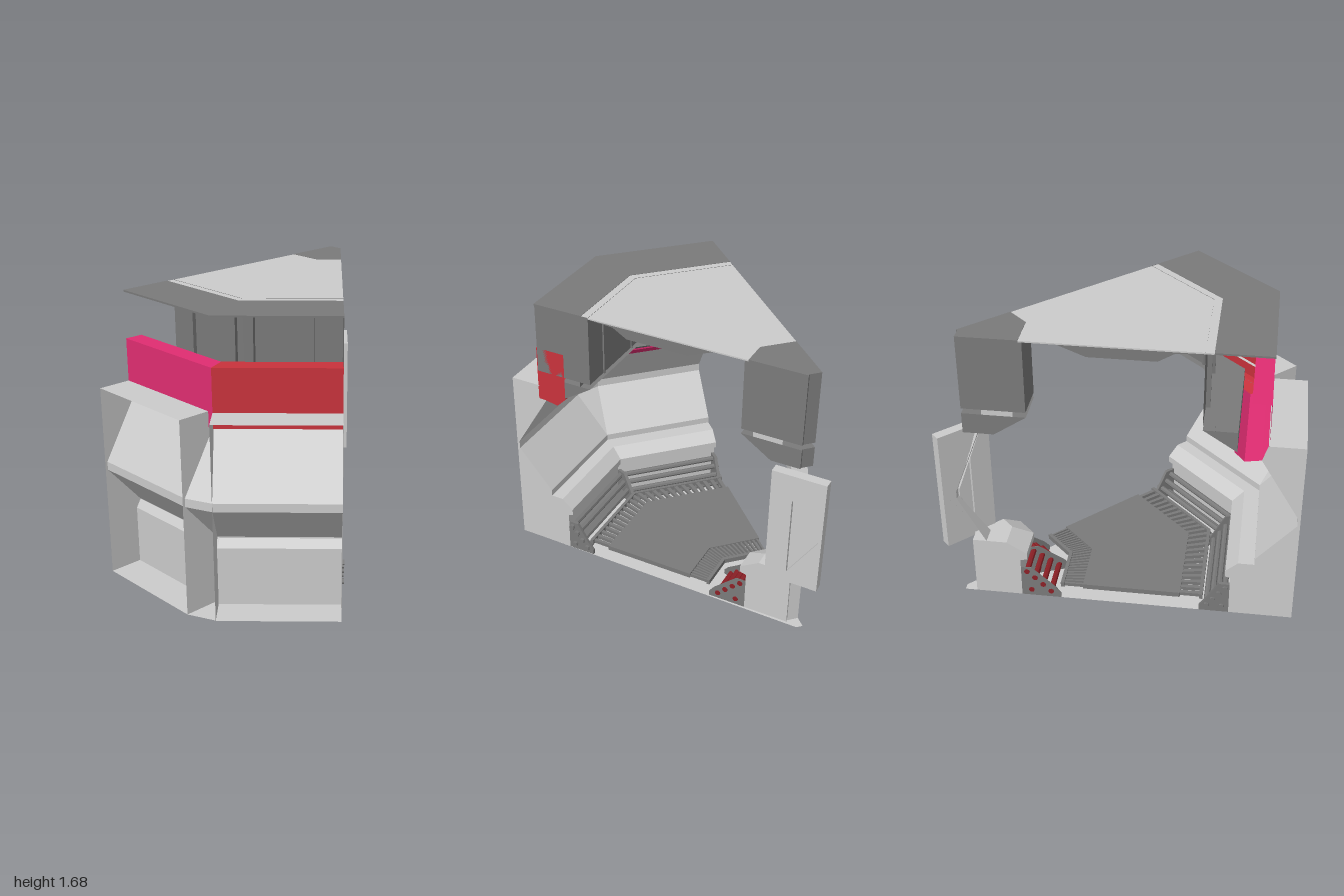
import * as THREE from 'three';

const GREY = 0xcccccc, DARK = 0x7a7a7a, PINK = 0xe02d72, RED = 0xc9323c, PIPE = 0x8c2026;
const mat = (color) => new THREE.MeshStandardMaterial({ color, side: THREE.DoubleSide, flatShading: true });

// Corridor plan: d is the offset across the corridor, s runs 0 (first end), 1 (mitre), 2 (second end).
function plan(d, s) {
  const mx = -0.238 + 0.414 * d, t = (d - mx + 0.266) / 2;
  return s <= 1 ? [-0.65 + (mx + 0.65) * s, d] : [mx + t * (s - 1), d - t * (s - 1)];
}
const at = (s) => (d) => plan(d, s);
const BEND = [at(0), at(1), at(2)];

// Outer panel path: swings round a hinge point so the ridge gets a bevelled corner.
const K = Math.SQRT1_2;
const PANEL = [
  (e) => [-0.65, 0.77 + e], (e) => [0.06, 0.77 + e],
  (e) => [0.06 + e * K, 0.77 + e * K], (e) => [0.548 + e * K, 0.282 + e * K],
];

// Sweeps a cross-section of [offset, y] points through the stations.
function sweep(parent, name, profile, stations, color, { closed = true, caps = closed } = {}) {
  const pos = [], n = profile.length;
  const point = (st, [d, y]) => { const [x, z] = st(d); return [x, y, z]; };
  for (let i = 0; i + 1 < stations.length; i++) {
    for (let j = 0; j < (closed ? n : n - 1); j++) {
      const p = profile[j], q = profile[(j + 1) % n];
      const a = point(stations[i], p), b = point(stations[i + 1], p);
      const c = point(stations[i + 1], q), e = point(stations[i], q);
      pos.push(...a, ...b, ...c, ...a, ...c, ...e);
    }
  }
  if (caps) {
    const tris = THREE.ShapeUtils.triangulateShape(profile.map(([d, y]) => new THREE.Vector2(d, y)), []);
    for (const st of [stations[0], stations[stations.length - 1]])
      for (const t of tris) for (const k of t) pos.push(...point(st, profile[k]));
  }
  const g = new THREE.BufferGeometry();
  g.setAttribute('position', new THREE.Float32BufferAttribute(pos, 3));
  g.computeVertexNormals();
  const m = new THREE.Mesh(g, mat(color));
  m.name = name;
  parent.add(m);
  return m;
}

// Flat sheet standing across the corridor at one station.
function plate(parent, name, outline, station, color) {
  const g = new THREE.ShapeGeometry(new THREE.Shape(outline.map(([d, y]) => new THREE.Vector2(d, y))));
  const p = g.attributes.position;
  for (let i = 0; i < p.count; i++) {
    const [x, z] = station(p.getX(i));
    p.setXYZ(i, x, p.getY(i), z);
  }
  g.computeVertexNormals();
  const m = new THREE.Mesh(g, mat(color));
  m.name = name;
  parent.add(m);
}

const rect = (a, b, y0, y1) => [[a, y0], [b, y0], [b, y1], [a, y1]];
const ring = (d, y, r) => Array.from({ length: 8 }, (_, i) =>
  [d + r * Math.cos(i * Math.PI / 4), y + r * Math.sin(i * Math.PI / 4)]);

function outerWall(g) {
  // Bulging panel with a ridge at mid height
  sweep(g, 'outerPanel', [[0, 1.09], [0.215, 0.73], [0.215, 0.68], [0, 0.43], [0, 0.38]], PANEL, GREY, { closed: false });
  // Open-fronted frame around each panel
  const side = [[0.03, 0.03], [0.23, 0.03], [0.23, 1.18], [0.03, 1.18], [0, 1.09], [0.215, 0.73],
    [0.215, 0.68], [0, 0.43], [0, 0.38]];
  PANEL.forEach((st) => plate(g, 'frameSide', side, st, GREY));
  for (const i of [0, 2]) {
    for (const y of [0.03, 1.18])
      sweep(g, y > 1 ? 'frameTop' : 'frameBottom', [[0.03, y], [0.23, y]], PANEL.slice(i, i + 2), GREY, { closed: false });
  }
  // Skirting bench at the foot of the wall
  sweep(g, 'outerSkirting', [[0.8, 0.03], [0.8, 0.38], [0.77, 0.43], [0.77, 0.39], [0.68, 0.39],
    [0.611, 0.33], [0.611, 0.29], [0.64, 0.28], [0.64, 0.03]], BEND, GREY);
  // Coloured band, one colour per side of the bend
  const band = [[0.625, 1.25], [0.625, 1.13], [0.68, 1.075], [0.77, 1.09], [0.805, 1.09], [0.805, 1.43], [0.7, 1.43]];
  sweep(g, 'frontBand', band, [at(0), at(1)], PINK, { closed: false });
  sweep(g, 'diagonalBand', band, [at(1), at(2)], RED, { closed: false });
  plate(g, 'bandEnd', [[0.625, 1.43], ...band.slice(1, 6)], at(2), RED);
  // Upper wall with a sloped soffit
  sweep(g, 'outerSoffit', [[0.64, 1.13], [0.455, 1.25], [0.64, 1.25]], BEND, DARK);
  sweep(g, 'soffitGap', [[0.52, 1.25], [0.52, 1.28]], BEND, DARK, { closed: false });
  sweep(g, 'upperWall', [[0.6, 1.28], [0.455, 1.28], [0.455, 1.71]], BEND, DARK, { closed: false });
  plate(g, 'upperWallEnd', rect(0.455, 0.8, 1.28, 1.71), at(2), DARK);
  for (const s of [0.3, 0.9, 1.1, 1.7])
    sweep(g, 'upperWallRib', rect(0.445, 0.48, 1.28, 1.66), [at(s), at(s + 0.02)], DARK);
}

function innerWall(g) {
  sweep(g, 'innerUpperWall', rect(-0.83, -0.48, 1.28, 1.7), BEND, DARK);
  sweep(g, 'innerSoffitGap', rect(-0.72, -0.55, 1.25, 1.28), BEND, GREY);
  sweep(g, 'innerSoffit', [[-0.48, 1.25], [-0.83, 1.25], [-0.83, 1.13], [-0.66, 1.13]], BEND, DARK);
  sweep(g, 'innerPanel', [[-0.75, 1.13], [-0.9, 0.73], [-0.9, 0.68], [-0.75, 0.4]], BEND, GREY, { closed: false });
  sweep(g, 'innerSkirting', [[-0.83, 0.03], [-0.83, 0.4], [-0.634, 0.4], [-0.52, 0.33], [-0.52, 0.29],
    [-0.56, 0.28], [-0.56, 0.03]], BEND, GREY);
  // End plate with a triangular recess
  const end = new THREE.Group();
  end.name = 'innerEndPlate';
  const shape = new THREE.Shape([[-0.157, 0.38], [0.157, 0.38], [0.157, 1.11], [-0.157, 1.11]]
    .map(([x, y]) => new THREE.Vector2(x, y)));
  shape.holes.push(new THREE.Path([[0.03, 0.95], [-0.14, 0.72], [0.03, 0.45]].map(([x, y]) => new THREE.Vector2(x, y))));
  const face = new THREE.Mesh(new THREE.ExtrudeGeometry(shape, { depth: 0.057, bevelEnabled: false }), mat(GREY));
  face.name = 'recessedPlate';
  const back = new THREE.Mesh(new THREE.BoxGeometry(0.2, 0.54, 0.02), mat(GREY));
  back.name = 'recessBack';
  back.position.set(-0.05, 0.7, 0.03);
  end.add(face, back);
  end.position.set(-0.5485, 0, -0.8885);
  end.rotation.y = -Math.PI / 4;
  g.add(end);
}

function roof(g) {
  sweep(g, 'roofEdge', rect(0.5, 0.805, 1.7, 1.71), BEND, DARK);
  sweep(g, 'roofPanel', rect(-0.5, 0.5, 1.7, 1.708), BEND, GREY);
  sweep(g, 'roofCorner', rect(-0.83, -0.5, 1.7, 1.71), BEND, DARK);
  // Lowered ceiling with sloping sides
  sweep(g, 'ceiling', [[0.455, 1.7], [0.3, 1.69], [0.215, 1.64], [-0.15, 1.64], [-0.3, 1.7]], BEND, DARK);
}

function floor(g) {
  // Base plate reaching out under the panel frames
  sweep(g, 'basePlate', [[-0.9, 0.03], [0.8, 0.03]], BEND, GREY, { closed: false });
  const corner = new THREE.Shape([[0.06, 0.77], [0.06, 1], [0.22, 0.93]].map(([x, z]) => new THREE.Vector2(x, -z)));
  const wedge = new THREE.Mesh(new THREE.ShapeGeometry(corner), mat(GREY));
  wedge.name = 'baseCorner';
  wedge.rotation.x = -Math.PI / 2;
  wedge.position.y = 0.03;
  g.add(wedge);
  // Raised deck with slotted edges
  sweep(g, 'deck', rect(-0.2, 0.36, 0.11, 0.14), BEND, DARK);
  for (const [a, b] of [[0.36, 0.48], [-0.32, -0.2]]) {
    const edge = a > 0 ? b : a;
    sweep(g, 'deckRail', rect(edge - 0.01, edge + 0.01, 0.11, 0.14), BEND, DARK);
    for (let i = 0; i < 24; i++) {
      const s = i / 12 + 0.02;
      sweep(g, 'deckSlat', rect(a, b, 0.115, 0.135), [at(s), at(s + 0.04)], DARK);
    }
  }
  // Pipe runs held by sloped brackets along both skirtings
  for (const [sign, root, toe, color] of [[1, 0.64, 0.47, DARK], [-1, 0.56, 0.33, PIPE]]) {
    const bracket = [[root, 0.03], [toe, 0.03], [toe, 0.06], [toe + 0.03, 0.1], [root - 0.06, 0.23], [root, 0.23]]
      .map(([d, y]) => [sign * d, y]);
    for (const s of [0, 0.97, 1.97])
      sweep(g, 'pipeBracket', bracket, [at(s), at(s + 0.03)], DARK);
    for (const [f, y] of [[0.25, 0.07], [0.45, 0.115], [0.65, 0.16], [0.85, 0.2], [0.75, 0.07]])
      sweep(g, 'pipe', ring(sign * (toe + (root - toe) * f), y, 0.017), [at(-0.015), at(1), at(2.03)], color);
  }
}

export function createModel() {
  const model = new THREE.Group();
  model.name = 'corridorBend';
  for (const [name, build] of Object.entries({ outerWall, innerWall, roof, floor })) {
    const part = new THREE.Group();
    part.name = name;
    build(part);
    model.add(part);
  }
  return model;
}
